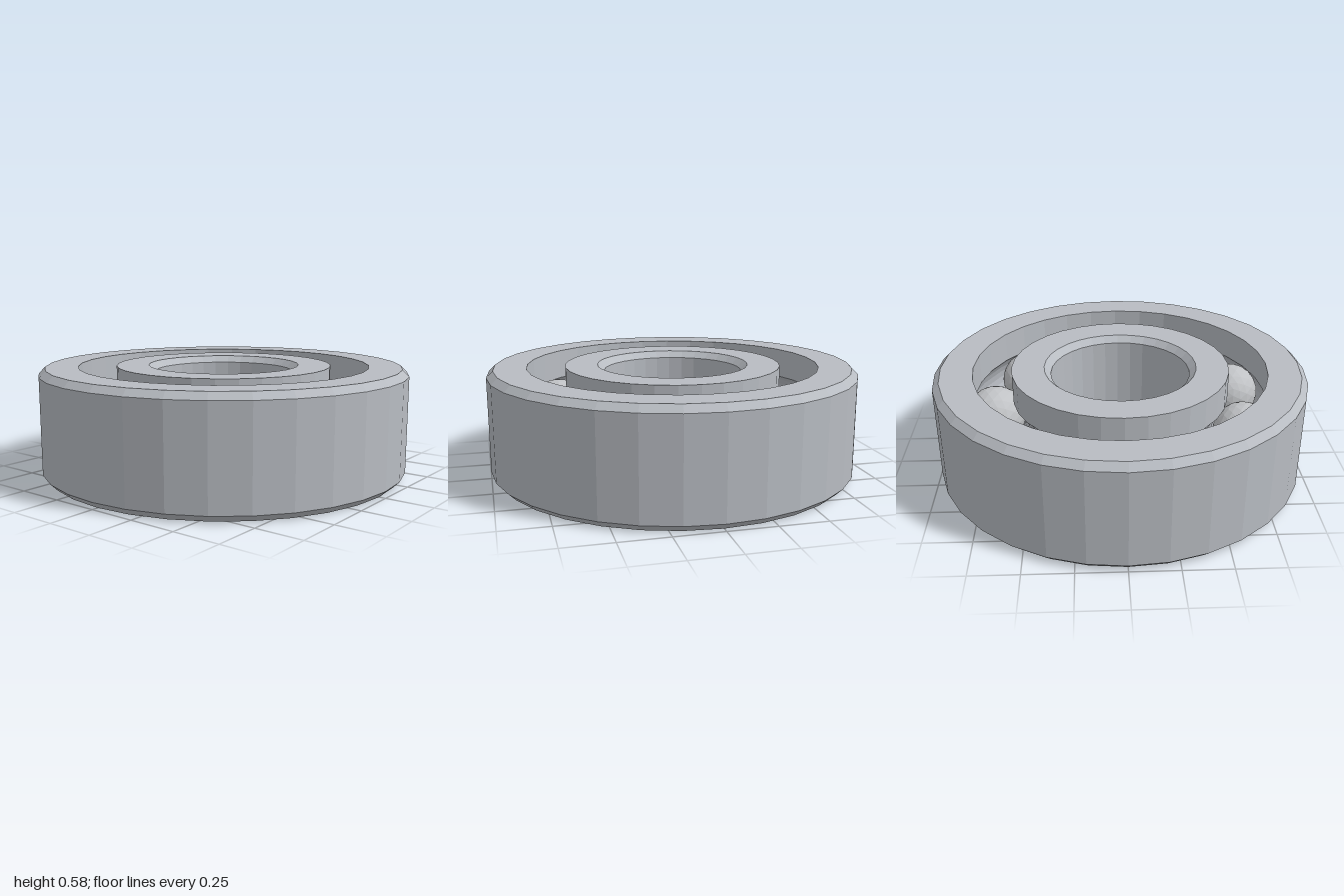
import * as THREE from 'three';

const HEIGHT = 0.585, CHAMFER = 0.035, SIDES = 32;
const PITCH = 0.688, BALL_R = 0.162, GROOVE_R = 0.165, BALLS = 9;

const ringSteel = new THREE.MeshStandardMaterial({ name: 'ringSteel', color: 0xb8bcc2, flatShading: true });
const ballSteel = new THREE.MeshStandardMaterial({ name: 'ballSteel', color: 0xc0c2c5, flatShading: true });

// Points of the ball groove cut into a wall; side is +1 for the outer ring, -1 for the inner
function groove(wall, side) {
  const half = Math.acos(Math.abs(wall - PITCH) / GROOVE_R);
  const points = [];
  for (let i = 0; i <= 8; i++) {
    const a = side * half * (1 - i / 4);
    points.push([PITCH + side * GROOVE_R * Math.cos(a), HEIGHT / 2 + GROOVE_R * Math.sin(a)]);
  }
  return points;
}

function ring(name, profile) {
  const points = [...profile, profile[0]].map(([r, y]) => new THREE.Vector2(r, y));
  const mesh = new THREE.Mesh(new THREE.LatheGeometry(points, SIDES), ringSteel);
  mesh.name = name;
  return mesh;
}

export function createModel() {
  const model = new THREE.Group();
  model.name = 'ballBearing';

  // Outer ring: chamfered outside, grooved inside
  model.add(ring('outerRing', [
    [1 - CHAMFER, 0], [1, CHAMFER], [1, HEIGHT - CHAMFER], [1 - CHAMFER, HEIGHT],
    [0.79, HEIGHT], ...groove(0.79, 1), [0.79, 0],
  ]));

  // Inner ring: grooved outside, chamfered bore
  model.add(ring('innerRing', [
    [0.585, 0], ...groove(0.585, -1), [0.585, HEIGHT],
    [0.41, HEIGHT], [0.375, HEIGHT - CHAMFER], [0.375, CHAMFER], [0.41, 0],
  ]));

  // Balls evenly spaced in the raceway
  const ballGeometry = new THREE.IcosahedronGeometry(BALL_R, 3);
  for (let i = 0; i < BALLS; i++) {
    const a = (i / BALLS) * Math.PI * 2;
    const ball = new THREE.Mesh(ballGeometry, ballSteel);
    ball.name = `ball${i + 1}`;
    ball.position.set(PITCH * Math.cos(a), HEIGHT / 2, PITCH * Math.sin(a));
    model.add(ball);
  }
  return model;
}
